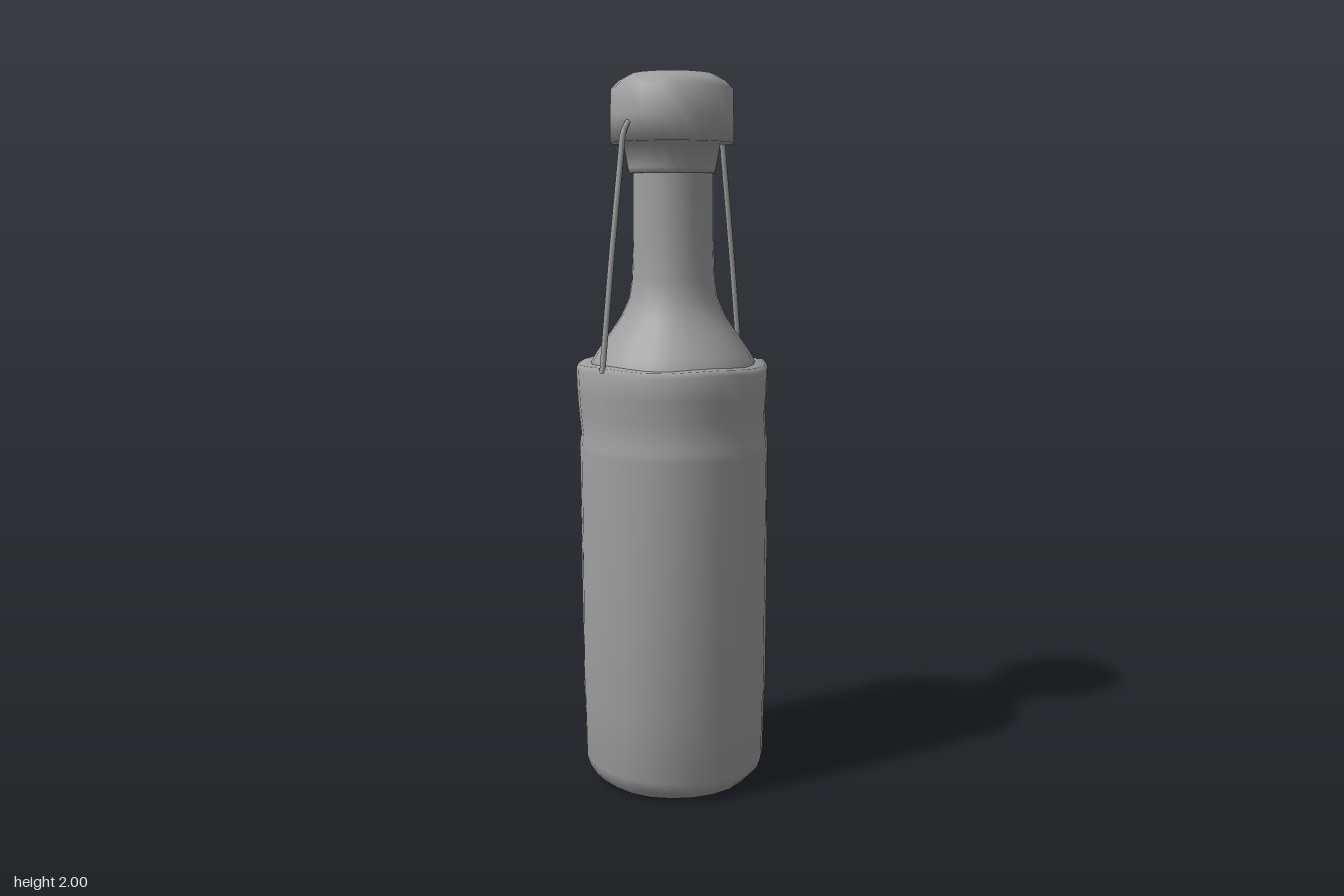
import * as THREE from 'three';
import { toCreasedNormals } from 'three/addons/utils/BufferGeometryUtils.js';

const material = new THREE.MeshStandardMaterial({ color: 0x9f9f9f, side: THREE.DoubleSide });

// Smooth turned part from [radius, height] pairs, listed bottom to top
function turned(name, profile, sides, warp) {
  const lathe = new THREE.LatheGeometry(profile.map(([r, y]) => new THREE.Vector2(r, y)), sides);
  if (warp) {
    const p = lathe.attributes.position;
    const v = new THREE.Vector3();
    for (let i = 0; i < p.count; i++) {
      warp(v.fromBufferAttribute(p, i));
      p.setXYZ(i, v.x, v.y, v.z);
    }
  }
  const mesh = new THREE.Mesh(toCreasedNormals(lathe, 2), material);
  mesh.name = name;
  return mesh;
}

// Slightly uneven wrapping: small ripples, and a top band that leans to the right
function ripple(v) {
  const angle = Math.atan2(v.z, v.x);
  const ripples = 1 + 0.005 * Math.sin(7 * angle + 3 * v.y) + 0.004 * Math.sin(11 * angle + 1);
  v.x *= ripples;
  v.z *= ripples;
  v.x += v.y < 1.05 ? 0.004 : -0.003;
  if (v.y > 1.19) v.y += 0.003 * Math.sin(5 * angle);
}

export function createModel() {
  const group = new THREE.Group();

  // Wrapped body with rounded foot, label seams and a softly bevelled rim
  group.add(turned('wrappedBody', [
    [0, 0.008], [0.2, 0], [0.226, 0.008], [0.25, 0.034], [0.26, 0.065],
    [0.263, 0.235], [0.266, 0.26], [0.267, 0.6], [0.267, 0.97], [0.266, 0.99],
    [0.262, 1.005], [0.264, 1.07], [0.268, 1.13], [0.27, 1.195], [0.263, 1.21],
    [0.228, 1.212],
  ], 24, ripple));

  // Shoulder and neck
  group.add(turned('shoulderAndNeck', [
    [0.245, 1.17], [0.232, 1.21], [0.215, 1.24], [0.18, 1.29], [0.146, 1.34],
    [0.124, 1.39], [0.116, 1.44], [0.112, 1.55], [0.111, 1.74],
  ], 24));

  // Domed cap with the flared collar under it
  const cap = turned('capAndCollar', [
    [0.1, 1.73], [0.118, 1.73], [0.122, 1.745], [0.134, 1.81], [0.171, 1.811],
    [0.17, 1.88], [0.168, 1.955], [0.145, 1.977], [0.115, 1.994], [0.08, 1.999], [0, 2],
  ], 20);
  cap.position.x = -0.005;
  group.add(cap);

  // Cords from the cap down to the rim, front and back
  for (const side of [1, -1]) {
    const path = new THREE.CatmullRomCurve3([
      [0.15, 1.862], [0.172, 1.858], [0.186, 1.83], [0.196, 1.76], [0.23, 1.5], [0.265, 1.2],
    ].map(([z, y]) => new THREE.Vector3(0.003, y, side * z)));
    const cord = new THREE.Mesh(new THREE.TubeGeometry(path, 32, 0.008, 8), material);
    cord.name = side > 0 ? 'frontCord' : 'backCord';
    group.add(cord);
  }
  return group;
}
